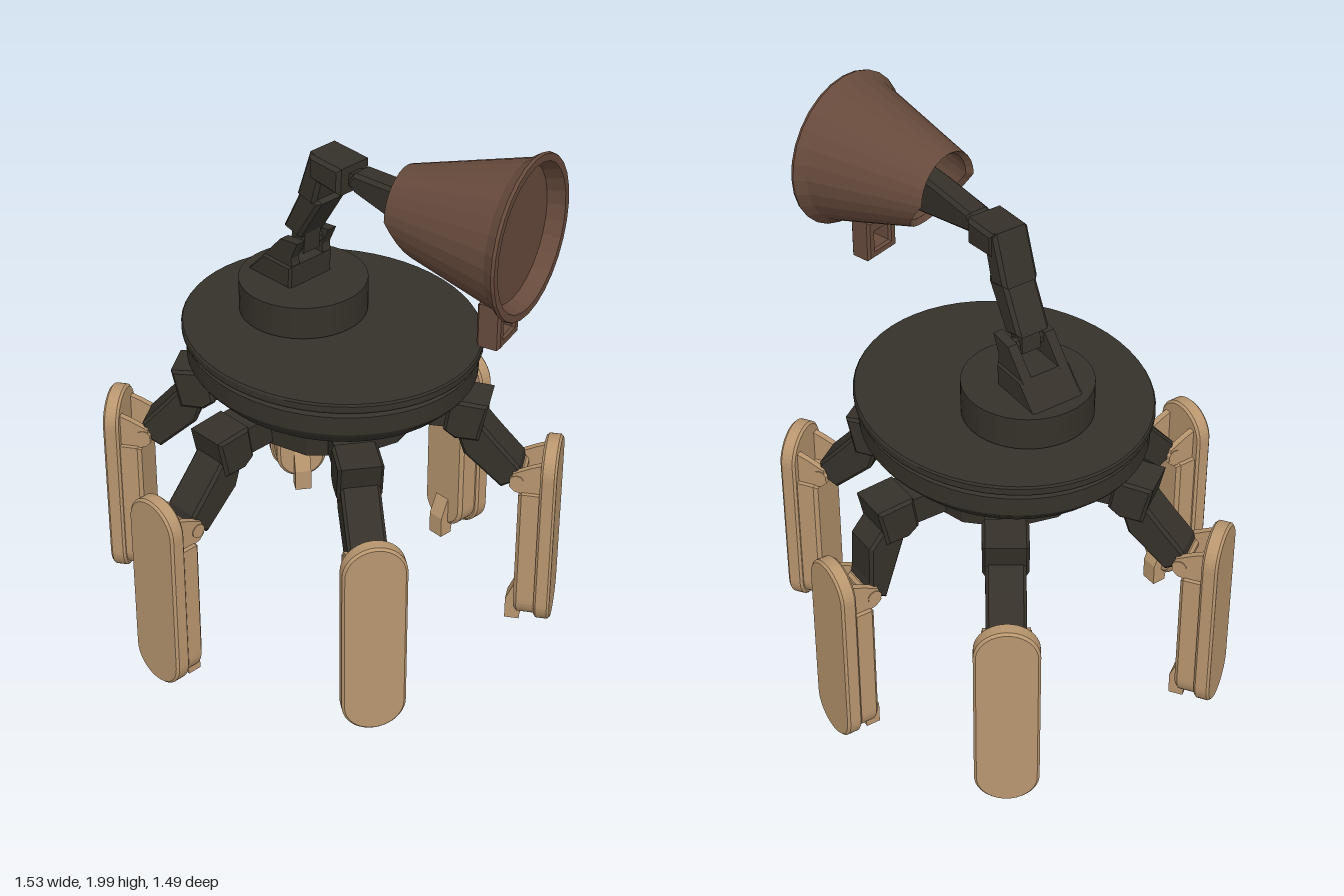
import * as THREE from 'three';

const paint = (color) => new THREE.MeshStandardMaterial({ color, flatShading: true, side: THREE.DoubleSide });
const dark = paint(0x35312a), tan = paint(0xb8966f), brown = paint(0x664a3c);

function add(parent, name, geometry, material, x = 0, y = 0, z = 0) {
  const mesh = new THREE.Mesh(geometry, material);
  mesh.name = name;
  mesh.position.set(x, y, z);
  parent.add(mesh);
  return mesh;
}

const group = (parent, name, x = 0, y = 0, z = 0) => {
  const g = new THREE.Group();
  g.name = name;
  g.position.set(x, y, z);
  parent.add(g);
  return g;
};

const outline = (pts) => new THREE.Shape(pts.map(([x, y]) => new THREE.Vector2(x, y)));

// Side profile in x, y (corner list or Shape) given a width across z
function slab(profile, width, bevel = 0) {
  const shape = Array.isArray(profile) ? outline(profile) : profile;
  return new THREE.ExtrudeGeometry(shape, {
    depth: width - 2 * bevel, curveSegments: 10, bevelEnabled: bevel > 0,
    bevelSize: bevel, bevelThickness: bevel, bevelOffset: -bevel, bevelSegments: 1,
  }).translate(0, 0, -width / 2 + bevel);
}

const lathe = (pts, n) => new THREE.LatheGeometry(pts.map(([r, y]) => new THREE.Vector2(r, y)), n);

// Upright capsule between y0 and y1; flat at the top if flatTop is set
function capsule(halfWidth, y0, y1, flatTop) {
  const s = new THREE.Shape();
  s.absarc(0, y0 + halfWidth, halfWidth, Math.PI, 2 * Math.PI, false);
  if (flatTop) s.lineTo(halfWidth, y1).lineTo(-halfWidth, y1);
  else s.absarc(0, y1 - halfWidth, halfWidth, 0, Math.PI, false);
  s.closePath();
  return s;
}

// One leg reaching along local +x; dr and dy move the lower leg
function makeLeg(parent, name, x, z, angle, dr = 0, dy = 0) {
  const leg = group(parent, name, x, 0, z);
  leg.rotation.y = -angle;
  add(leg, 'hipBeam', new THREE.BoxGeometry(0.2, 0.1, 0.13), dark, 0.32, 0.89, 0);
  add(leg, 'hip', slab([[0.39, 0.83], [0.43, 0.8], [0.51, 0.8], [0.54, 0.94], [0.41, 0.95]], 0.15, 0.01), dark);
  add(leg, 'thigh', slab([[0.44, 0.8], [0.46, 0.74], [0.59 + dr, 0.62 + dy], [0.66 + dr, 0.66 + dy],
    [0.65 + dr, 0.71 + dy], [0.57, 0.8], [0.52, 0.86]], 0.13, 0.01), dark);

  const shin = group(leg, 'lowerLeg', dr, dy);
  for (const s of [-1, 1]) {
    add(shin, 'kneeBracket', slab([[0.62, 0.64], [0.64, 0.62], [0.74, 0.6], [0.74, 0.74], [0.69, 0.72], [0.63, 0.69]], 0.022),
      tan, 0, 0, s * 0.066);
  }
  const pin = add(shin, 'kneePin', new THREE.CylinderGeometry(0.025, 0.025, 0.16, 10), tan, 0.645, 0.66, 0);
  pin.rotation.x = Math.PI / 2;
  add(shin, 'shell', slab(capsule(0.106, 0.07, 0.8), 0.055, 0.008).rotateY(Math.PI / 2), tan, 0.753);
  add(shin, 'innerShell', slab(capsule(0.092, 0.085, 0.62, true), 0.09, 0.012).rotateY(Math.PI / 2), tan, 0.698);
  add(shin, 'foot', slab([[0.67, 0.22], [0.65, 0.2], [0.62, 0.13], [0.62, 0.05], [0.67, 0.05], [0.675, 0.09], [0.7, 0.1]], 0.06), tan);
}

// Hollow bell whose narrow end is cut away underneath
function makeBell() {
  const g = lathe([[0.115, 0.02], [0.13, 0], [0.24, 0.39], [0.265, 0.425], [0.262, 0.435], [0.238, 0.435], [0.228, 0.4], [0.115, 0.02]], 28);
  g.rotateZ(-Math.PI / 2);
  const p = g.attributes.position;
  for (let i = 0; i < p.count; i++) {
    if (p.getX(i) > 0.1) continue;
    const drop = Math.max(0, -p.getY(i) / 0.13), k = 1 + 0.22 * drop;
    p.setXYZ(i, p.getX(i) + 0.1 * drop, p.getY(i) * k, p.getZ(i) * k);
  }
  return g;
}

export function createModel() {
  const model = new THREE.Group();
  model.name = 'walkingMachine';
  const CX = -0.065, CZ = -0.04;

  // Oval body
  const body = group(model, 'body', CX, 0, CZ);
  const oval = (name, geometry) => add(body, name, geometry.scale(1, 1, 0.9), dark);
  oval('topPlate', lathe([[0, 1.122], [0.52, 1.122], [0.525, 1.13], [0.525, 1.15], [0.52, 1.157], [0, 1.157]], 56));
  oval('bodySpacer', lathe([[0.46, 1.1], [0.46, 1.125]], 40));
  oval('bodyBowl', lathe([[0, 0.965], [0.43, 0.965], [0.455, 0.975], [0.5, 1.02], [0.51, 1.035], [0.51, 1.1], [0.5, 1.106], [0, 1.106]], 56));
  add(body, 'hub', new THREE.CylinderGeometry(0.32, 0.31, 0.11, 12), dark, 0, 0.885, 0);
  add(body, 'hubNeck', new THREE.CylinderGeometry(0.24, 0.24, 0.05, 20), dark, 0, 0.95, 0);
  const ring = add(body, 'hubRing', new THREE.TorusGeometry(0.13, 0.022, 8, 24), dark, 0, 0.832, 0);
  ring.rotation.x = Math.PI / 2;

  // Six legs
  makeLeg(model, 'frontLeg', -0.097, CZ, Math.PI / 2);
  makeLeg(model, 'backLeg', -0.097, CZ, -Math.PI / 2 + 0.03, -0.075, -0.045);
  const a = 0.593;
  makeLeg(model, 'frontLeftLeg', CX, CZ, a);
  makeLeg(model, 'backLeftLeg', CX, CZ, -a);
  makeLeg(model, 'frontRightLeg', CX, CZ, Math.PI - a);
  makeLeg(model, 'backRightLeg', CX, CZ, Math.PI + a);

  // Turret and jointed arm
  const arm = group(model, 'arm', 0, 0, CZ);
  add(arm, 'turretNeck', new THREE.CylinderGeometry(0.17, 0.17, 0.03, 32), dark, -0.2, 1.16, 0);
  add(arm, 'turret', new THREE.CylinderGeometry(0.215, 0.215, 0.115, 40), dark, -0.2, 1.222, 0);
  add(arm, 'shoulderBase', slab([[-0.37, 1.275], [-0.165, 1.275], [-0.16, 1.36], [-0.29, 1.36]], 0.19, 0.008), dark);
  for (const s of [-1, 1]) {
    add(arm, 'shoulderEar', slab([[-0.3, 1.35], [-0.16, 1.35], [-0.165, 1.39], [-0.135, 1.455], [-0.215, 1.445]], 0.035), dark, 0, 0, s * 0.07);
  }
  const shoulderPin = add(arm, 'shoulderPin', new THREE.CylinderGeometry(0.025, 0.025, 0.17, 10), dark, -0.185, 1.42, 0);
  shoulderPin.rotation.x = Math.PI / 2;
  add(arm, 'shoulderLink', slab([[-0.22, 1.4], [-0.16, 1.39], [-0.15, 1.5], [-0.21, 1.5]], 0.07), dark);
  add(arm, 'upperArm', slab([[-0.235, 1.475], [-0.16, 1.455], [-0.06, 1.615], [-0.14, 1.66]], 0.12, 0.012), dark);
  add(arm, 'upperArmTop', slab([[-0.165, 1.62], [-0.085, 1.6], [-0.045, 1.74], [-0.05, 1.775], [-0.105, 1.79]], 0.13, 0.012), dark);
  add(arm, 'elbow', slab([[-0.1, 1.7], [0.035, 1.685], [0.04, 1.78], [-0.1, 1.785]], 0.14, 0.012), dark);
  add(arm, 'wrist', slab([[0.02, 1.715], [0.08, 1.7], [0.08, 1.765], [0.02, 1.75]], 0.05), dark);
  const forearm = add(arm, 'forearm', slab([[0.04, 1.73], [0.07, 1.7], [0.38, 1.63], [0.38, 1.78], [0.28, 1.78], [0.07, 1.77]], 0.085, 0.012), dark);
  forearm.rotation.y = 0.03;

  // Bell and its handle, turned a little to the back
  const head = group(model, 'bell', 0.272, 1.732, -0.022);
  head.rotation.y = 0.29;
  add(head, 'bellShell', makeBell(), brown);
  add(head, 'bellFace', new THREE.CylinderGeometry(0.222, 0.222, 0.01, 28).rotateZ(Math.PI / 2), brown, 0.375, 0, 0);
  const handle = outline([[-0.07, -0.37], [0.07, -0.37], [0.07, -0.22], [-0.07, -0.22]]);
  handle.holes.push(outline([[-0.035, -0.335], [-0.035, -0.27], [0.035, -0.27], [0.035, -0.335]]));
  add(head, 'handle', slab(handle, 0.08, 0.008).rotateY(Math.PI / 2), brown, 0.34, 0, 0.015);

  return model;
}
